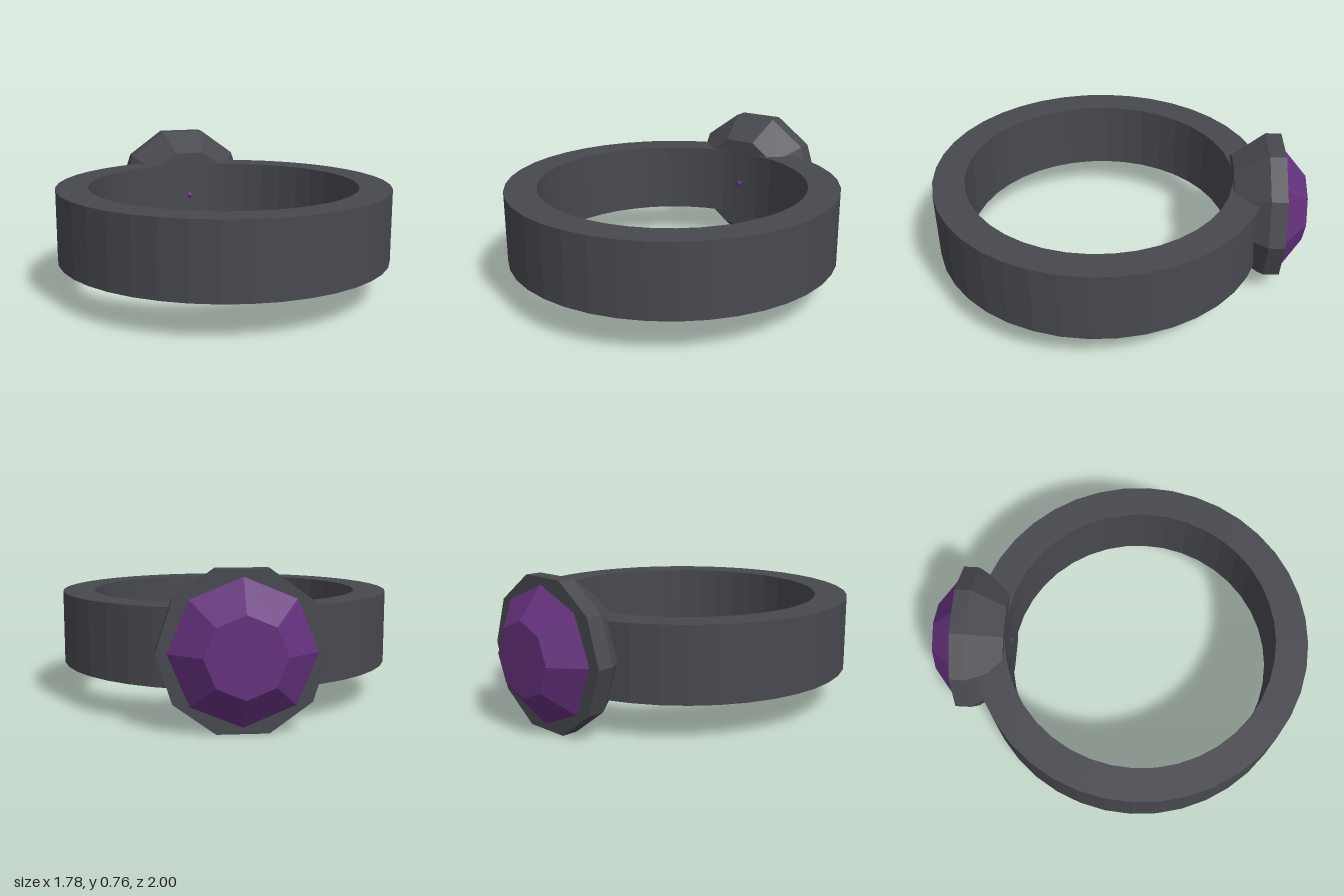
import * as THREE from 'three';

const METAL = 0x48494f;
const GEM = 0x64307c;

// Faceted solid of revolution from [radius, height] pairs, listed bottom to top on the outside
function turned(name, profile, sides, color) {
  const points = profile.map(([r, h]) => new THREE.Vector2(r, h));
  const geometry = new THREE.LatheGeometry(points, sides, Math.PI / 2);
  const material = new THREE.MeshStandardMaterial({ color, flatShading: true });
  const mesh = new THREE.Mesh(geometry, material);
  mesh.name = name;
  return mesh;
}

export function createModel() {
  const model = new THREE.Group();
  model.name = 'gemRing';
  const midY = 0.38;

  // Band lying flat, with a rectangular section
  const band = turned('band', [
    [0.72, -0.192], [0.89, -0.192], [0.89, 0.192], [0.72, 0.192], [0.72, -0.192],
  ], 40, METAL);
  band.position.set(0, midY, 0.11);
  model.add(band);

  // Head at the back: heights in its profiles run towards -z
  const head = new THREE.Group();
  head.name = 'head';
  head.position.y = midY;
  head.rotation.x = -Math.PI / 2;
  model.add(head);

  // Ten-sided tapered setting
  head.add(turned('setting', [
    [0, 0.606], [0.277, 0.606], [0.398, 0.78], [0.398, 0.865], [0, 0.865],
  ], 10, METAL));

  // Eight-sided cut stone; its point just breaks through the setting
  head.add(turned('stone', [
    [0, 0.592], [0.345, 0.875], [0.19, 1], [0, 1],
  ], 8, GEM));

  return model;
}
